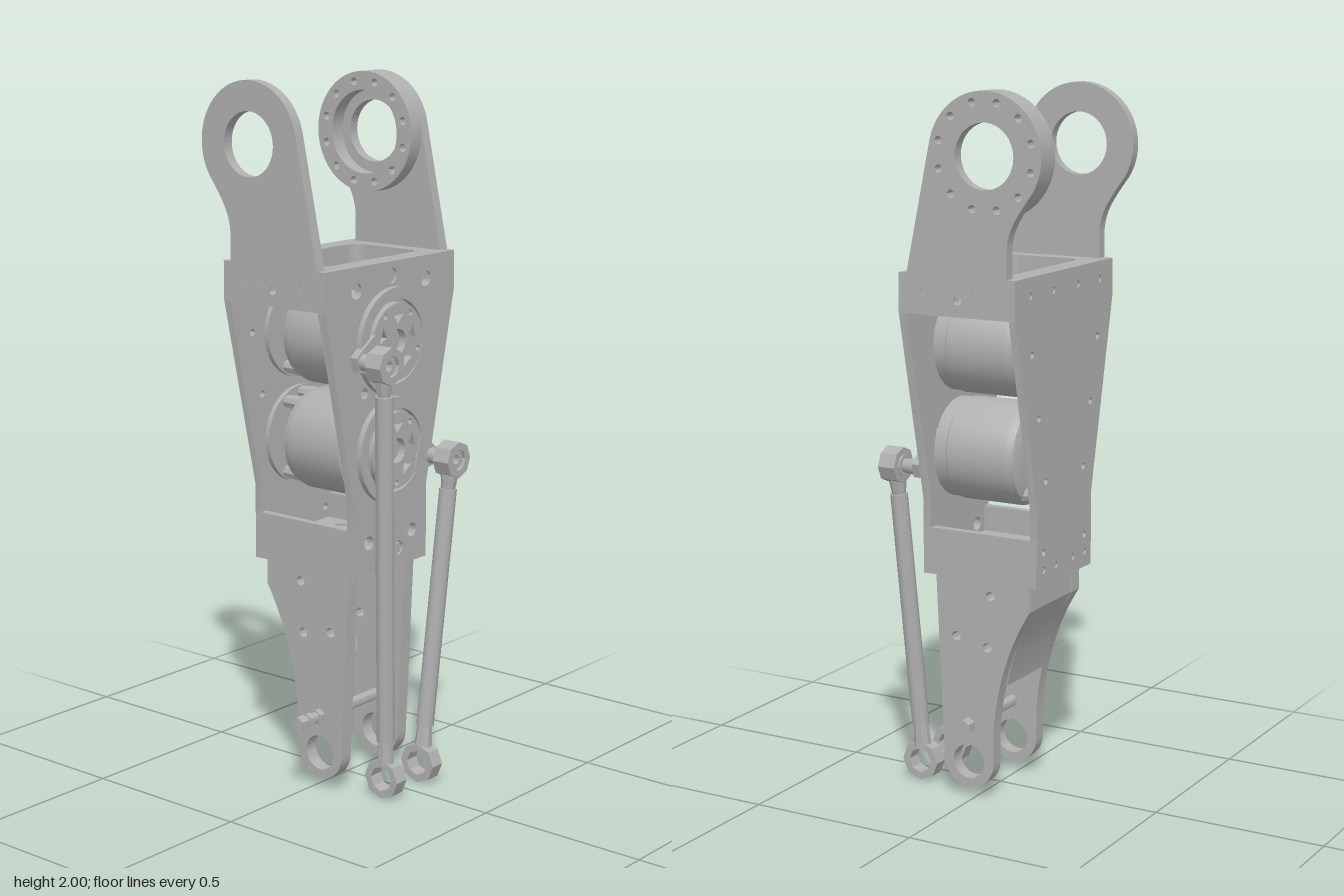
import * as THREE from 'three';
import { toCreasedNormals } from 'three/addons/utils/BufferGeometryUtils.js';

const metal = new THREE.MeshStandardMaterial({ color: 0xb0b0b0 });
metal.name = 'grey metal';

const V = (x, y, z) => new THREE.Vector3(x, y, z);

function add(parent, name, geo) {
  const m = new THREE.Mesh(geo, metal);
  m.name = name;
  parent.add(m);
  return m;
}

function box(parent, name, x0, x1, y0, y1, z0, z1) {
  const g = new THREE.BoxGeometry(x1 - x0, y1 - y0, z1 - z0);
  g.translate((x0 + x1) / 2, (y0 + y1) / 2, (z0 + z1) / 2);
  return add(parent, name, g);
}

// Round bar between two points
function bar(parent, name, a, b, r0, r1 = r0, sides = 24) {
  const d = b.clone().sub(a);
  const g = toCreasedNormals(new THREE.CylinderGeometry(r1, r0, d.length(), sides), 0.7);
  const m = add(parent, name, g);
  m.position.copy(a).addScaledVector(d, 0.5);
  m.quaternion.setFromUnitVectors(V(0, 1, 0), d.normalize());
  return m;
}

function hole(shape, x, y, r) {
  shape.holes.push(new THREE.Path().absarc(x, y, r, 0, Math.PI * 2, true));
}

function disc(x, y, r, inner = 0) {
  const s = new THREE.Shape().absarc(x, y, r, 0, Math.PI * 2, false);
  if (inner) hole(s, x, y, inner);
  return s;
}

function poly(points) {
  return new THREE.Shape(points.map(p => new THREE.Vector2(...p)));
}

function slab(shape, depth, seg = 20) {
  return toCreasedNormals(
    new THREE.ExtrudeGeometry(shape, { depth, bevelEnabled: false, curveSegments: seg }), 0.5);
}

// Shape drawn in x,y and extruded from z0 to z1
function alongZ(parent, name, shape, z0, z1, seg) {
  return add(parent, name, slab(shape, z1 - z0, seg).translate(0, 0, z0));
}

// Shape drawn in -z,y and extruded from x0 to x1
function alongX(parent, name, shape, x0, x1, seg) {
  return add(parent, name, slab(shape, x1 - x0, seg).rotateY(Math.PI / 2).translate(x0, 0, 0));
}

// Upper mounting arm outline with its round lug
const LUG = [-0.11, 1.83];
function armShape() {
  const s = new THREE.Shape();
  s.moveTo(-0.178, 1.505);
  s.lineTo(0.132, 1.505);
  s.lineTo(LUG[0] + 0.166, LUG[1] + 0.037);
  s.absarc(LUG[0], LUG[1], 0.17, 0.22, Math.PI + 0.55, false);
  s.bezierCurveTo(-0.21, 1.68, -0.178, 1.64, -0.178, 1.58);
  s.closePath();
  hole(s, ...LUG, 0.088);
  return s;
}

// Lower fork leg outline
function legShape() {
  const s = new THREE.Shape();
  s.moveTo(0.125, 0.65);
  s.lineTo(-0.175, 0.65);
  s.lineTo(-0.175, 0.57);
  s.quadraticCurveTo(-0.075, 0.41, -0.06, 0.2);
  s.lineTo(-0.06, 0.11);
  s.absarc(0.02, 0.11, 0.08, Math.PI, Math.PI * 2, false);
  s.closePath();
  hole(s, 0.02, 0.105, 0.05);
  for (const [x, y] of [[-0.05, 0.6], [0.06, 0.47], [-0.04, 0.45]]) hole(s, x, y, 0.014);
  return s;
}

function sidePlate() {
  return poly([[-0.16, 0.645], [0.16, 0.645], [0.16, 0.86], [0.28, 1.4], [0.28, 1.51],
    [-0.28, 1.51], [-0.28, 1.4], [-0.16, 0.86]]);
}

// Motor lying along x, with output hub and crank towards crankZ
function motor(parent, y, crankZ, crankY) {
  const g = new THREE.Group();
  g.name = 'motor';
  parent.add(g);
  const can = [[0, -0.125], [0.09, -0.125], [0.128, -0.12], [0.138, -0.115], [0.143, -0.1], [0.146, -0.09],
    [0.146, 0.09], [0.142, 0.094], [0.142, 0.132], [0, 0.132]].map(p => new THREE.Vector2(...p));
  const geo = toCreasedNormals(new THREE.LatheGeometry(can, 48), 0.6);
  add(g, 'motorCan', geo.rotateZ(-Math.PI / 2).translate(0, y, 0));
  alongX(g, 'rearRing', disc(0, y, 0.14, 0.09), -0.186, -0.17, 32);
  for (const side of [-1, 1]) for (const t of [-0.55, 0, 0.55]) {
    const py = y + side * 0.12 * Math.cos(t), pz = 0.12 * Math.sin(t);
    bar(g, 'rearPost', V(-0.18, py, pz), V(-0.11, py, pz), 0.017, 0.022, 8);
  }
  alongX(g, 'flangeRing', disc(0, y, 0.15, 0.118), 0.15, 0.174, 32);
  const hub = disc(0, y, 0.108, 0.035);
  for (let i = 0; i < 5; i++) {
    // Wedge-shaped pockets around the hub
    const a = i * Math.PI * 0.4 + 0.3;
    const at = (r, t) => new THREE.Vector2(r * Math.cos(a + t), y + r * Math.sin(a + t));
    hub.holes.push(new THREE.Path([at(0.05, 0), at(0.078, -0.28), at(0.078, 0.28)]));
    hole(hub, 0.092 * Math.cos(a + 0.63), y + 0.092 * Math.sin(a + 0.63), 0.008);
  }
  alongX(g, 'outputHub', hub, 0.155, 0.18, 32);
  // Tapered crank from hub rim to the rod joint
  const dir = new THREE.Vector2(-crankZ, crankY - y).normalize();
  const n = new THREE.Vector2(-dir.y, dir.x);
  const pt = (d, w) => [dir.x * d + n.x * w, y + dir.y * d + n.y * w];
  const end = Math.hypot(crankZ, crankY - y);
  alongX(g, 'crank', poly([pt(0.09, -0.055), pt(end, -0.032), pt(end + 0.025, -0.02),
    pt(end + 0.025, 0.02), pt(end, 0.032), pt(0.09, 0.055)]), 0.16, 0.183);
  bar(g, 'crankBolt', V(0.17, crankY, crankZ), V(0.24, crankY, crankZ), 0.025, 0.018, 10);
}

// Push rod with an eye at each end
function pushRod(parent, top, bottom) {
  const g = new THREE.Group();
  g.name = 'pushRod';
  parent.add(g);
  const d = bottom.clone().sub(top).normalize();
  const along = (p, t) => p.clone().addScaledVector(d, t);
  bar(g, 'rodTube', along(top, 0.085), along(bottom, -0.11), 0.025);
  bar(g, 'topShank', along(top, 0.04), along(top, 0.09), 0.026, 0.019, 8);
  bar(g, 'bottomShank', along(bottom, -0.15), along(bottom, -0.045), 0.018, 0.026, 8);
  alongX(g, 'topEye', disc(-top.z, top.y, 0.052, 0.03), top.x - 0.025, top.x + 0.028, 4);
  alongX(g, 'topJointBall', disc(-top.z, top.y, 0.032, 0.014), top.x - 0.03, top.x + 0.018, 5);
  alongZ(g, 'bottomEye', disc(bottom.x, bottom.y, 0.058, 0.036), bottom.z - 0.022, bottom.z + 0.022, 4);
}

export function createModel() {
  const root = new THREE.Group();
  root.name = 'actuatedLinkage';

  // Tapered side plates with bolt holes
  const outer = sidePlate();
  for (const [u, v, r] of [[0.15, 1.445, 0.022], [-0.15, 1.445, 0.022], [0, 1.47, 0.022], [0.035, 0.695, 0.02],
    [-0.035, 0.695, 0.02], [0.095, 0.735, 0.02], [-0.095, 0.735, 0.02], [0.115, 1.05, 0.015],
    [-0.115, 1.16, 0.015]]) hole(outer, u, v, r);
  alongX(root, 'leftSidePlate', outer, 0.132, 0.157);
  const inner = sidePlate();
  for (const s of [-1, 1]) for (const [u, v] of [[0.2, 1.46], [0.07, 1.46], [0.19, 1.3], [0.15, 1.12],
    [0.11, 0.94], [0.12, 0.74], [0.05, 0.69], [0.12, 0.69]]) hole(inner, s * u, v, 0.01);
  alongX(root, 'rightSidePlate', inner, -0.205, -0.184);

  // Top frame with a rounded opening
  const frame = poly([[-0.2, -0.279], [0.15, -0.279], [0.15, 0.279], [-0.2, 0.279]]);
  const o = new THREE.Path();
  const [l, r, h, c] = [-0.14, 0.09, 0.205, 0.035];
  o.absarc(r - c, h - c, c, 0, Math.PI / 2);
  o.absarc(l + c, h - c, c, Math.PI / 2, Math.PI);
  o.absarc(l + c, -h + c, c, Math.PI, Math.PI * 1.5);
  o.absarc(r - c, -h + c, c, Math.PI * 1.5, Math.PI * 2);
  frame.holes.push(o);
  add(root, 'topFrame', slab(frame, 0.06).rotateX(-Math.PI / 2).translate(0, 1.45, 0));

  for (const s of [-1, 1]) {
    const span = (a, b) => s > 0 ? [a, b] : [-b, -a];
    // Wall under each arm, with its row of screw holes
    const wall = poly([[-0.204, 1.4], [0.156, 1.4], [0.156, 1.51], [-0.204, 1.51]]);
    for (const [x, y, rad] of [[-0.13, 1.465, 0.012], [-0.075, 1.465, 0.007], [-0.027, 1.445, 0.012],
      [0.02, 1.465, 0.007], [0.075, 1.465, 0.012]]) hole(wall, x, y, rad);
    alongZ(root, 'topWall', wall, ...span(0.25, 0.281));
    // Lower lip, fork leg and its foot boss
    box(root, 'lowerLip', -0.204, 0.156, 0.646, 0.78, ...span(0.138, 0.161));
    alongZ(root, 'forkLeg', legShape(), ...span(0.105, 0.146));
  }

  // Arms: plain at the front, with a bolted ring at the back
  alongZ(root, 'frontArm', armShape(), 0.25, 0.281, 32);
  const back = armShape();
  const ring = disc(...LUG, 0.17, 0.118);
  for (let i = 0; i < 12; i++) {
    const a = (i + 0.5) * Math.PI / 6;
    for (const s of [back, ring])
      hole(s, LUG[0] + 0.144 * Math.cos(a), LUG[1] + 0.144 * Math.sin(a), 0.011);
  }
  alongZ(root, 'backArm', back, -0.281, -0.25, 32);
  alongZ(root, 'bearingRing', ring, -0.25, -0.205, 32);

  // Floor with screw holes
  const floor = poly([[-0.2, -0.15], [0.15, -0.15], [0.15, 0.15], [-0.2, 0.15]]);
  for (const x of [-0.1, 0.06]) for (const z of [-0.09, 0.09]) hole(floor, x, z, 0.016);
  add(root, 'floorPlate', slab(floor, 0.06).rotateX(-Math.PI / 2).translate(0, 0.646, 0));

  // Curved web joining the two legs
  const web = new THREE.Shape();
  web.moveTo(-0.173, 0.65);
  web.lineTo(-0.173, 0.57);
  web.quadraticCurveTo(-0.11, 0.465, -0.083, 0.335);
  web.lineTo(-0.045, 0.335);
  web.quadraticCurveTo(-0.07, 0.465, -0.135, 0.58);
  web.lineTo(-0.135, 0.65);
  alongZ(root, 'legWeb', web, -0.11, 0.11);

  // Cross pin through the legs
  bar(root, 'crossPin', V(0.02, 0.215, -0.17), V(0.02, 0.215, 0.235), 0.016);
  for (const [a, b] of [[-0.18, -0.147], [0.147, 0.165], [0.19, 0.205], [0.215, 0.243]])
    bar(root, 'pinNut', V(0.02, 0.215, a), V(0.02, 0.215, b), 0.023, 0.023, 6);

  motor(root, 1.29, 0.15, 1.255);
  motor(root, 0.985, -0.15, 0.945);
  pushRod(root, V(0.252, 1.255, 0.15), V(0.21, 0.06, 0.083));
  pushRod(root, V(0.252, 0.945, -0.15), V(0.21, 0.06, -0.08));
  return root;
}
